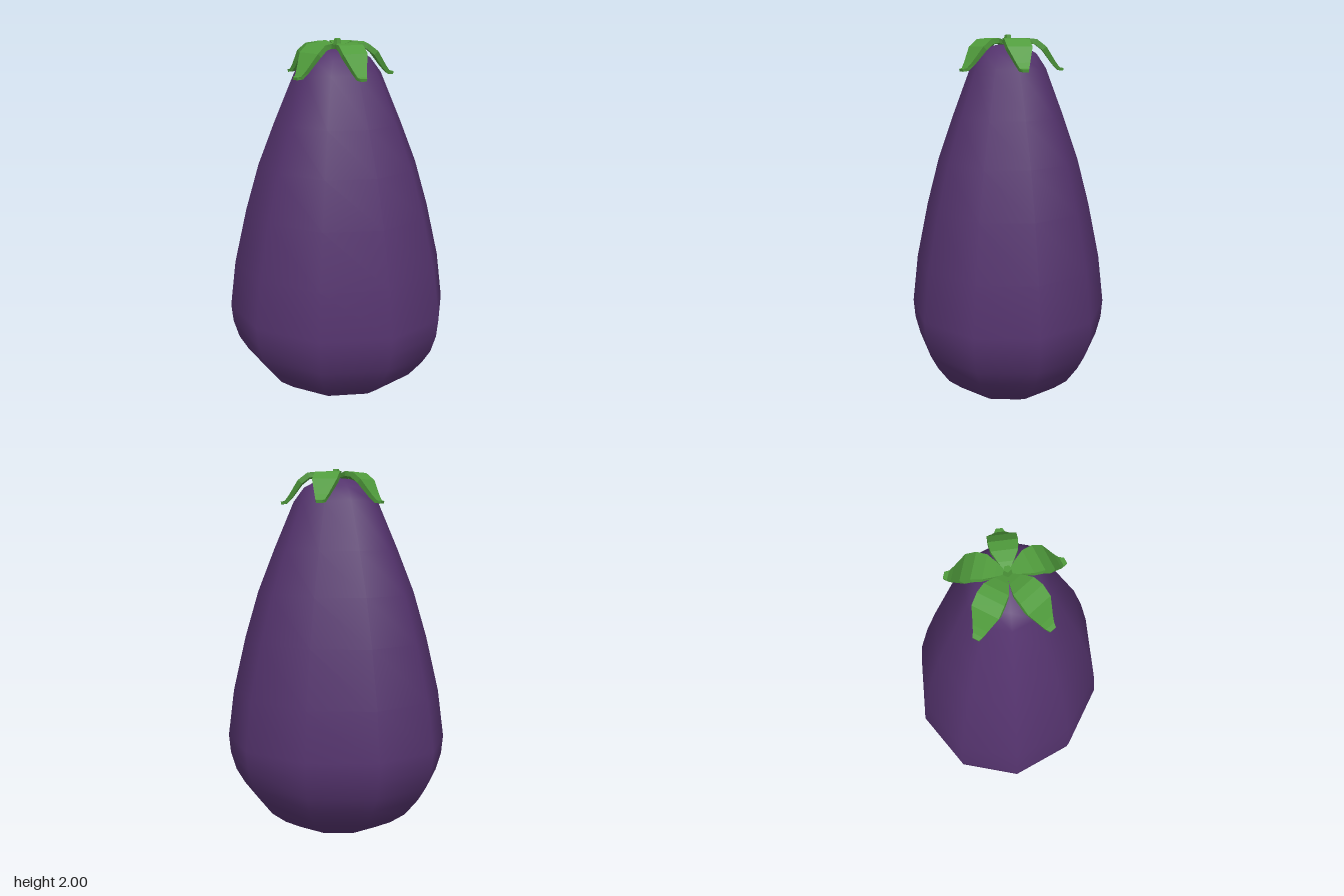
import * as THREE from 'three';

// Body profile: [radius, height], bottom to top
const BODY = [
  [0, 0.004], [0.14, 0.02], [0.23, 0.05], [0.315, 0.1], [0.393, 0.165], [0.46, 0.26], [0.502, 0.34],
  [0.528, 0.44], [0.536, 0.54], [0.505, 0.8], [0.442, 1.1], [0.376, 1.35], [0.295, 1.58],
  [0.2, 1.83], [0.15, 1.905], [0.08, 1.945], [0, 1.957],
];

// Sepal stations: [distance from centre, top height, half width, thickness]
const SEPAL = [
  [0.012, 1.96, 0.01, 0.012], [0.05, 1.972, 0.035, 0.02], [0.1, 1.983, 0.061, 0.025],
  [0.15, 1.978, 0.067, 0.028], [0.2, 1.94, 0.067, 0.028], [0.25, 1.862, 0.037, 0.022],
  [0.272, 1.834, 0.025, 0.018], [0.293, 1.83, 0.016, 0.014],
];

// Flat-faced curved strip running outwards along -z
function sepalGeometry() {
  const positions = [];
  const index = [];
  SEPAL.forEach(([r, y, w, t], i) => {
    // offset the underside at right angles to the curve
    const a = SEPAL[Math.max(i - 1, 0)];
    const b = SEPAL[Math.min(i + 1, SEPAL.length - 1)];
    const dr = b[0] - a[0], dy = b[1] - a[1];
    const len = Math.hypot(dr, dy);
    const r2 = r + (dy / len) * t, y2 = y - (dr / len) * t;
    positions.push(-w, y, -r, w, y, -r, w, y2, -r2, -w, y2, -r2);
    if (i === 0) return;
    const p = (i - 1) * 4, q = i * 4;
    for (let k = 0; k < 4; k++) {
      const n = (k + 1) % 4;
      index.push(p + k, p + n, q + n, p + k, q + n, q + k);
    }
  });
  const e = (SEPAL.length - 1) * 4;
  index.push(0, 2, 1, 0, 3, 2, e, e + 1, e + 2, e, e + 2, e + 3);
  const indexed = new THREE.BufferGeometry();
  indexed.setAttribute('position', new THREE.Float32BufferAttribute(positions, 3));
  indexed.setIndex(index);
  const geometry = indexed.toNonIndexed();
  geometry.computeVertexNormals();
  return geometry;
}

export function createModel() {
  const group = new THREE.Group();
  group.name = 'eggplant';

  const purple = new THREE.MeshStandardMaterial({ color: 0x54336d });
  purple.name = 'purple skin';
  const green = new THREE.MeshStandardMaterial({ color: 0x509c3c });
  green.name = 'green leaf';

  // Ten-sided smooth body, wider than deep
  const bodyGeometry = new THREE.LatheGeometry(BODY.map(([r, y]) => new THREE.Vector2(r, y)), 10);
  bodyGeometry.scale(1.14, 1, 1);
  const body = new THREE.Mesh(bodyGeometry, purple);
  body.name = 'body';
  group.add(body);

  // Five sepals around the top
  const calyx = new THREE.Group();
  calyx.name = 'calyx';
  const leaf = sepalGeometry();
  for (let i = 0; i < 5; i++) {
    const sepal = new THREE.Mesh(leaf, green);
    sepal.name = 'sepal';
    sepal.rotation.y = (i * Math.PI * 2) / 5;
    calyx.add(sepal);
  }
  group.add(calyx);

  // Short five-sided stem
  const stemGeometry = new THREE.CylinderGeometry(0.018, 0.025, 0.06, 5).toNonIndexed();
  stemGeometry.computeVertexNormals();
  const stem = new THREE.Mesh(stemGeometry, green);
  stem.name = 'stem';
  stem.position.y = 1.97;
  group.add(stem);

  return group;
}
